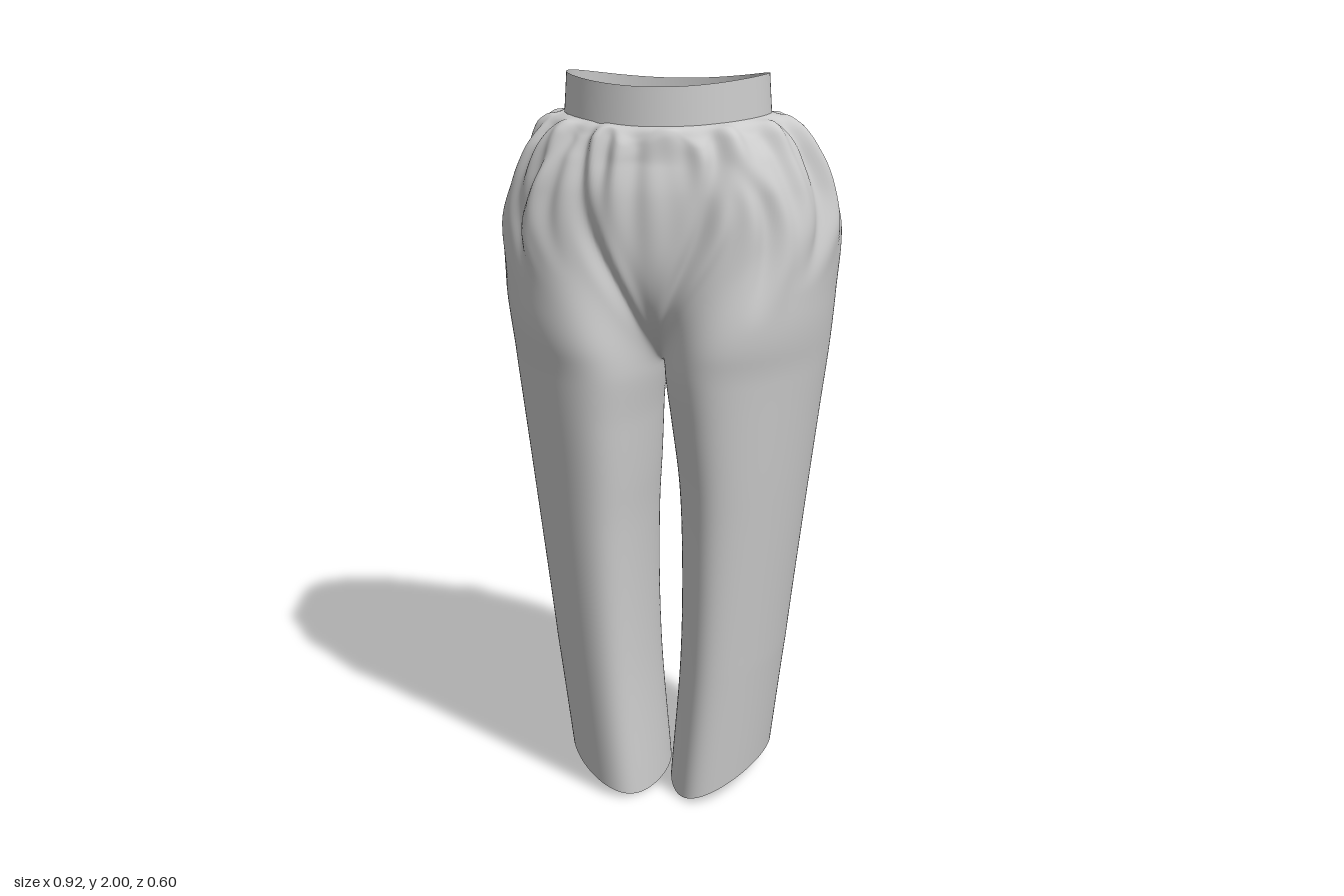
import * as THREE from 'three';
import { mergeGeometries, mergeVertices } from 'three/addons/utils/BufferGeometryUtils.js';

const CROTCH = 1.24, TOP = 1.9;

// Outline by height: [y, inner x, outer x, front z, back z]
const PROFILE = [
  [0.00, 0.004, 0.290, 0.205, -0.248],
  [0.40, 0.033, 0.330, 0.220, -0.248],
  [0.80, 0.035, 0.375, 0.248, -0.255],
  [1.10, 0.014, 0.410, 0.280, -0.272],
  [1.24, 0.000, 0.427, 0.295, -0.284],
  [1.42, 0.000, 0.446, 0.310, -0.298],
  [1.60, 0.000, 0.455, 0.312, -0.306],
  [1.72, 0.000, 0.422, 0.307, -0.290],
  [1.80, 0.000, 0.385, 0.289, -0.255],
  [1.86, 0.000, 0.345, 0.265, -0.218],
  [1.89, 0.000, 0.305, 0.243, -0.192],
  [1.90, 0.000, 0.272, 0.225, -0.180],
];

// Longer creases: [start angle, start y, end angle, end y, depth, width]
const FOLDS = [
  [0.42, 1.80, 0.16, 1.35, 0.018, 0.07], [-0.50, 1.84, -0.24, 1.30, 0.020, 0.07],
  [0.62, 1.78, 0.95, 1.42, 0.016, 0.08], [-0.85, 1.80, -1.10, 1.50, 0.016, 0.08],
  [1.35, 1.82, 1.25, 1.50, 0.018, 0.09], [-1.30, 1.86, -1.50, 1.45, 0.018, 0.09],
  [1.95, 1.82, 2.10, 1.50, 0.018, 0.09], [-1.95, 1.84, -2.10, 1.50, 0.018, 0.09],
  [2.55, 1.80, 2.75, 1.50, 0.014, 0.07], [-2.60, 1.80, -2.45, 1.45, 0.014, 0.07],
  [2.85, 1.47, 2.20, 1.36, 0.016, 0.10], [-2.85, 1.48, -2.25, 1.34, 0.018, 0.10],
];

// Smooth interpolation of one profile column
function profile(y, c) {
  const P = PROFILE, last = P.length - 1;
  let k = 0;
  while (k < last - 1 && y > P[k + 1][0]) k++;
  const slope = (i) => {
    const a = P[Math.max(i - 1, 0)], b = P[Math.min(i + 1, last)];
    return (b[c] - a[c]) / (b[0] - a[0]);
  };
  const h = P[k + 1][0] - P[k][0], t = (y - P[k][0]) / h, t2 = t * t, t3 = t2 * t;
  return (2 * t3 - 3 * t2 + 1) * P[k][c] + (t3 - 2 * t2 + t) * h * slope(k)
    + (3 * t2 - 2 * t3) * P[k + 1][c] + (t3 - t2) * h * slope(k + 1);
}

const { smoothstep: smooth, lerp, clamp } = THREE.MathUtils;

// Outward cloth displacement: gathers under the band plus long creases
function wrinkle(angle, y) {
  const gather = smooth(y, 1.5, 1.82) * (1 - smooth(y, 1.86, 1.9));
  const soft = smooth(y, CROTCH, 1.6) * (1 - smooth(y, 1.82, 1.9));
  const wave = Math.sin(19 * angle + 2 * Math.sin(3 * angle)) * 0.6
    + Math.sin(31 * angle + 1.5 * Math.cos(2 * angle) + 4 * y) * 0.4;
  let d = 0.012 * gather * wave + 0.006 * soft * Math.sin(7 * angle + 5 * y + Math.sin(2 * angle));
  for (const [a0, y0, a1, y1, depth, width] of FOLDS) {
    const t = (y - y0) / (y1 - y0);
    if (Math.abs(y0 - y1) > 0.2) {
      const fade = smooth(t, -0.25, 0.15) * (1 - smooth(t, 0.55, 1.1));
      const s = (angle - a0 - (a1 - a0) * t) / width;
      d += depth * fade * (0.5 * Math.exp(-((s - 1.6) ** 2)) - Math.exp(-s * s));
    } else {
      // sagging crease below the seat
      const u = (angle - a0) / (a1 - a0);
      const s = (y - y0 - (y1 - y0) * u) / 0.035;
      d -= depth * smooth(u, -0.3, 0.2) * (1 - smooth(u, 0.6, 1.2)) * Math.exp(-s * s);
    }
  }
  return d;
}

// A closed leg section that opens into half of the hip section above the crotch
function clothPoint(side, phi, y) {
  const lean = side * 0.01 * (1 - smooth(y, 0.9, 1.2));
  const xi = y < CROTCH ? Math.max(profile(y, 1), 0) + lean : 0;
  const xo = profile(y, 2), zf = profile(y, 3), zb = profile(y, 4);
  const cz = (zf + zb) / 2, b = (zf - zb) / 2;
  const isFront = phi < Math.PI;
  const sin = Math.sin(phi), c = 1 - Math.cos(phi), outward = Math.sin(phi / 2);

  // the centre seam follows a U through the crotch, the sides open slowly
  const t = clamp((y - CROTCH) / 0.46, 0, 1);
  const seam = 0.95 * Math.sqrt(1 - (1 - t) ** 2);
  const open = smooth(y, CROTCH, 1.72), merge = smooth(y, 1.3, 1.72);

  // leg section turned inward at the front, outward at the back
  const legX = xi + 0.49 * (xo - xi) * c * (1 - 0.33 * sin * (1 - 0.25 * c));
  const hipX = xo * outward;
  const leg = Math.abs(sin);
  const round = isFront ? 1 : lerp(0.88, 1, smooth(y, 1.75, TOP));
  const hip = Math.abs(Math.cos(phi / 2)) ** round;
  const thigh = ((leg ** 4 + (seam * hip) ** 4) / (1 + 0.25 * seam ** 4)) ** 0.25;
  // shallow hollow down the front centre
  const hollow = isFront ? 1 - 0.1 * Math.exp(-((phi / 0.6) ** 2)) * (1 - smooth(y, 1.8, TOP)) : 1;
  const depth = lerp(thigh, hip * hollow, merge) * b * (isFront ? 1 : -1);

  const angle = side * phi / 2;
  const d = wrinkle(angle, y) * smooth(y, CROTCH, 1.45);
  const x = lerp(legX, hipX, open) + d * outward;
  const z = cz + depth - 0.035 * merge * outward ** 2 + d * Math.cos(phi / 2);
  // hem arches up on the outer side
  const hem = 0.065 * (c / 2) ** 2 + 0.002;
  // uneven gathered edge puffing up against the band
  const puff = 0.012 * Math.sin(13 * angle) * smooth(y, 1.8, 1.87) * (1 - smooth(y, 1.88, TOP))
    - 0.012 * smooth(y, 1.7, 1.88) * Math.cos(phi / 2) ** 2;
  return [side * x, y + hem * Math.max(0, 1 - y / 0.4) + puff, z];
}

function gridGeometry(rows, cols, point, flip) {
  const pos = [], index = [];
  for (let i = 0; i <= rows; i++) {
    for (let j = 0; j <= cols; j++) pos.push(...point(i / rows, j / cols));
  }
  for (let i = 0; i < rows; i++) {
    for (let j = 0; j < cols; j++) {
      const a = i * (cols + 1) + j, b = a + 1, c = a + cols + 1, d = c + 1;
      if (flip) index.push(a, d, b, a, c, d);
      else index.push(a, b, d, a, d, c);
    }
  }
  const g = new THREE.BufferGeometry();
  g.setAttribute('position', new THREE.Float32BufferAttribute(pos, 3));
  g.setIndex(index);
  return g;
}

export function createModel() {
  const group = new THREE.Group();
  group.name = 'gatheredTrousers';
  const cloth = new THREE.MeshStandardMaterial({ color: 0xcccccc, side: THREE.DoubleSide });

  const add = (name, geometry) => {
    const welded = mergeVertices(geometry, 1e-5);
    welded.computeVertexNormals();
    const mesh = new THREE.Mesh(welded, cloth);
    mesh.name = name;
    group.add(mesh);
  };

  // Both legs and the seat; rows are denser toward the waist
  const half = (side) => gridGeometry(130, 144, (v, u) =>
    clothPoint(side, u * Math.PI * 2, TOP * (1 - (1 - v) ** 1.6)), side < 0);
  add('legsAndSeat', mergeGeometries([half(1), half(-1)]));

  // Waistband: egg-shaped, slightly tapered open strip with a dipping top edge
  add('waistband', gridGeometry(6, 96, (v, u) => {
    const a = u * Math.PI * 2;
    const top = 1.988 - 0.012 * Math.cos(2 * a) + 0.007 * Math.cos(a);
    const bottom = 1.88 + 0.005 * Math.cos(a);
    const r = 1 + 0.03 * (1 - v);
    const z = 0.022 + 0.2 * r * Math.cos(a) - 0.035 * Math.sin(a) ** 2;
    return [0.265 * r * Math.sin(a), bottom + (top - bottom) * v, z];
  }, false));

  return group;
}
